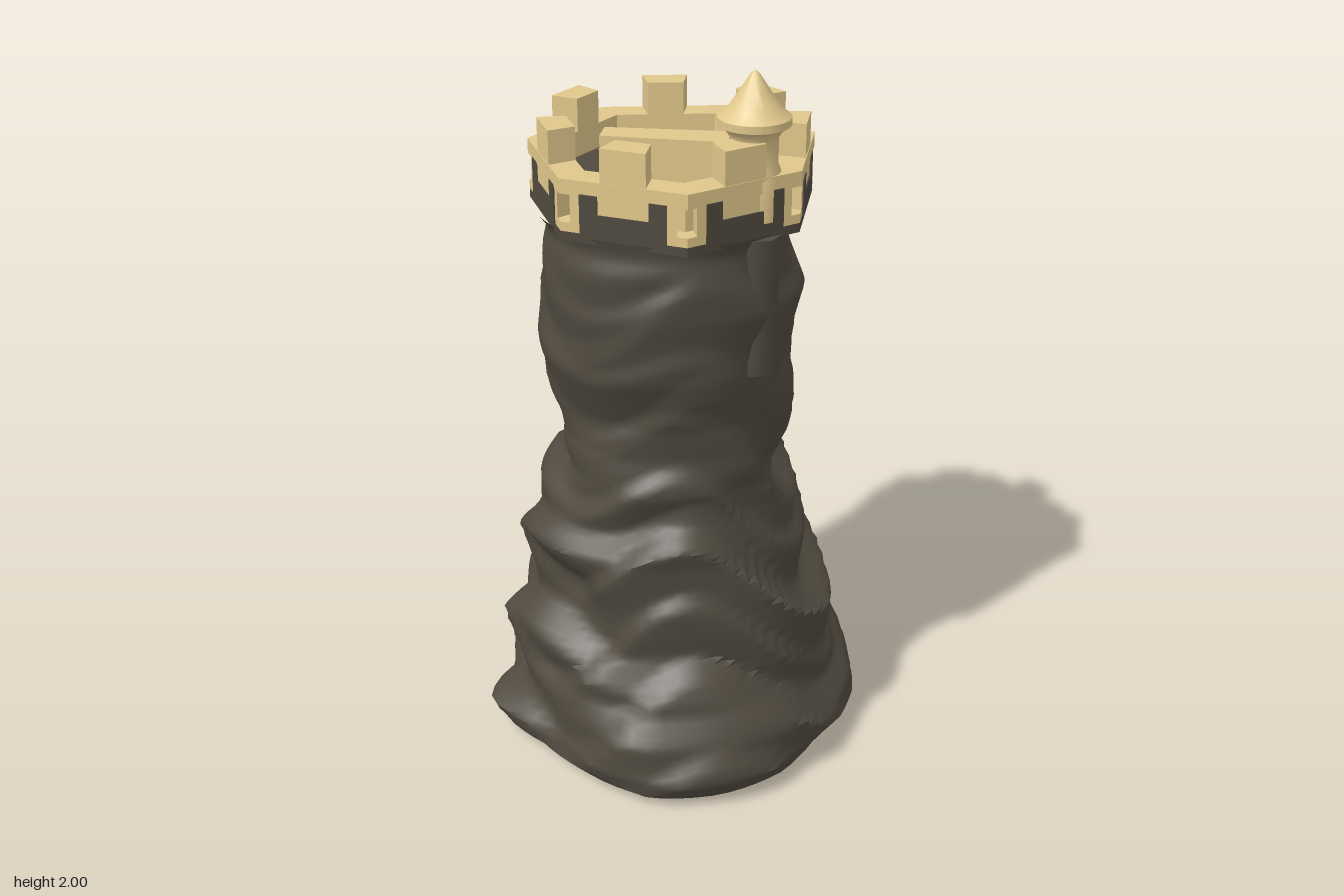
import * as THREE from 'three';
import { toCreasedNormals } from 'three/addons/utils/BufferGeometryUtils.js';

const rock = new THREE.MeshStandardMaterial({ color: 0x504a3f });
rock.name = 'dark rock';
const sand = new THREE.MeshStandardMaterial({ color: 0xe0c78b });
sand.name = 'sandstone';

const step = THREE.MathUtils.smoothstep;

// Rock silhouette: height, left (-x), right (+x), front (+z), back (-z)
const rows = [
  [0.0, 0.40, 0.40, 0.46, 0.46], [0.03, 0.51, 0.50, 0.54, 0.53], [0.08, 0.52, 0.52, 0.56, 0.55],
  [0.18, 0.46, 0.49, 0.52, 0.49], [0.26, 0.46, 0.47, 0.43, 0.45], [0.34, 0.47, 0.45, 0.41, 0.44],
  [0.45, 0.43, 0.41, 0.39, 0.42], [0.56, 0.41, 0.38, 0.36, 0.39], [0.66, 0.43, 0.35, 0.33, 0.35],
  [0.78, 0.38, 0.30, 0.32, 0.38], [0.86, 0.30, 0.28, 0.32, 0.37], [0.95, 0.31, 0.32, 0.28, 0.365],
  [1.05, 0.345, 0.33, 0.28, 0.355], [1.2, 0.37, 0.32, 0.33, 0.35], [1.38, 0.365, 0.345, 0.34, 0.38],
  [1.5, 0.35, 0.305, 0.335, 0.38], [1.55, 0.34, 0.305, 0.32, 0.37], [1.59, 0.375, 0.34, 0.33, 0.40],
];
// Foot outline radii every 22.5 degrees, from +x towards +z
const foot = [0.53, 0.5, 0.53, 0.55, 0.55, 0.5, 0.48, 0.53, 0.51, 0.55, 0.55, 0.6, 0.545, 0.5, 0.51, 0.53];

function rowAt(y) {
  let k = 1;
  while (k < rows.length - 1 && rows[k][0] < y) k++;
  const a = rows[k - 1], b = rows[k];
  const t = (y - a[0]) / (b[0] - a[0]);
  return a.map((v, i) => v + (b[i] - v) * t);
}

function ellipse([, left, right, front, back], a) {
  const c = Math.cos(a), s = Math.sin(a);
  return 1 / Math.hypot(c / (c > 0 ? right : left), s / (s > 0 ? front : back));
}

// Scalloped, overlapping ledges: each swells slowly upwards, then drops back
function ledges(a, y) {
  const ledge = (t) => {
    const f = t - Math.floor(t);
    return (f < 0.75 ? f / 0.75 : (1 - f) / 0.25) - 0.5;
  };
  const low = 1 - step(y, 0.75, 1.0);
  const fade = step(y, 0, 0.12) * (1 - step(y, 1.45, 1.53));
  const big = ledge(y * 2.9 + 0.45 * Math.sin(a * 2 + y * 1.5) + 0.3 * Math.sin(a * 3 + 2));
  const small = ledge(y * 4.7 + 0.5 * Math.sin(a * 3 + 1) - 0.35 * Math.sin(a * 2 - y * 3));
  return fade * (big * (0.014 + 0.04 * low) + small * (0.012 + 0.018 * low));
}

function radius(a, y) {
  const u = a / (Math.PI * 2) * 16, k = Math.floor(u);
  const outline = THREE.MathUtils.lerp(foot[k % 16], foot[(k + 1) % 16], u - k);
  const ratio = outline / ellipse(rows[2], a);
  const r = ellipse(rowAt(y), a) * THREE.MathUtils.lerp(ratio, 1, step(y, 0.08, 0.5));
  // hollow on the front left-hand slope
  const hollow = 0.07 * Math.exp(-(((a - 2.36) / 0.4) ** 2) - ((y - 0.48) / 0.1) ** 2);
  return r + ledges(a, y) - hollow;
}

function rockGeometry() {
  const N = 72, M = 100, pos = [], idx = [];
  for (let j = 0; j <= M; j++) {
    const y = 1.59 * j / M;
    for (let i = 0; i < N; i++) {
      const a = i / N * Math.PI * 2, r = radius(a, y);
      pos.push(r * Math.cos(a), y, r * Math.sin(a));
      if (j === M) continue;
      const p = j * N + i, q = j * N + (i + 1) % N;
      idx.push(p, p + N, q, q, p + N, q + N);
    }
  }
  // underside
  const centre = pos.length / 3;
  pos.push(0, 0, 0);
  for (let i = 0; i < N; i++) idx.push(centre, i, (i + 1) % N);
  const g = new THREE.BufferGeometry();
  g.setAttribute('position', new THREE.Float32BufferAttribute(pos, 3));
  g.setIndex(idx);
  return toCreasedNormals(g, 0.9);
}

function add(parent, name, geometry, material) {
  const m = new THREE.Mesh(geometry, material);
  m.name = name;
  parent.add(m);
  return m;
}

// Upright prism from a plan outline of [x, z] points
function prism(points, y0, y1) {
  const shape = new THREE.Shape(points.map(([x, z]) => new THREE.Vector2(x, -z)));
  const g = new THREE.ExtrudeGeometry(shape, { depth: y1 - y0, bevelEnabled: false });
  return g.rotateX(-Math.PI / 2).translate(0, y0, 0);
}

// Corners of the seven-sided parapet
const corners = [[0.087, -0.415], [0.352, -0.2], [0.346, 0.128], [0.087, 0.35],
  [-0.25, 0.275], [-0.4, -0.035], [-0.255, -0.345]];
const mid = [-0.018, -0.035];

function edgePoint(i, t, s) {
  const a = corners[i], b = corners[(i + 1) % 7];
  return [0, 1].map((k) => mid[k] + (a[k] + (b[k] - a[k]) * t - mid[k]) * s);
}

// Piece of one parapet side: t runs along the side, s scales from the centre
function block(i, t0, t1, s0, s1, y0, y1) {
  return prism([edgePoint(i, t0, s0), edgePoint(i, t1, s0), edgePoint(i, t1, s1), edgePoint(i, t0, s1)], y0, y1);
}

export function createModel() {
  const model = new THREE.Group();
  model.name = 'rockTower';

  add(model, 'rockShaft', rockGeometry(), rock);
  add(model, 'roofFloor', prism(corners.map((_, i) => edgePoint(i, 0, 0.82)), 1.58, 1.67), rock);

  // parapet with recessed corner windows and a merlon on each side
  const parapet = new THREE.Group();
  parapet.name = 'parapet';
  model.add(parapet);
  for (let i = 0; i < 7; i++) {
    add(parapet, 'parapetFooting', block(i, 0, 1, 0.78, 1, 1.575, 1.6), rock);
    add(parapet, 'windowSill', block(i, 0, 1, 0.78, 1, 1.6, 1.625), sand);
    add(parapet, 'windowBack', block(i, 0, 1, 0.78, 0.88, 1.625, 1.7), sand);
    add(parapet, 'parapetWall', block(i, 0.08, 0.92, 0.88, 1, 1.625, 1.7), sand);
    add(parapet, 'parapetCoping', block(i, 0, 1, 0.78, 1.005, 1.7, 1.74), sand);
    add(parapet, 'merlon', block(i, 0.32, 0.68, 0.78, 1, 1.74, 1.83), sand);
    // dark facing between the pale window and merlon surrounds
    add(parapet, 'lowerFacing', block(i, 0.16, 0.84, 0.99, 1.01, 1.6, 1.655), rock);
    for (const t of [0.16, 0.7]) {
      add(parapet, 'sideFacing', block(i, t, t + 0.14, 0.99, 1.01, 1.655, 1.705), rock);
    }
  }

  // wall across the roof
  add(model, 'innerWall', prism([[-0.17, 0.075], [0.2, 0.062], [0.2, 0.158], [-0.17, 0.15]], 1.62, 1.815), sand);

  // corner turret with pointed roof
  const profile = [[0.075, 1.62], [0.075, 1.73], [0.063, 1.76], [0.063, 1.83], [0.075, 1.85], [0.095, 1.862],
    [0.095, 1.882], [0.068, 1.905], [0.038, 1.95], [0.012, 1.99], [0, 2]].map((p) => new THREE.Vector2(...p));
  const turret = add(model, 'turret', toCreasedNormals(new THREE.LatheGeometry(profile, 24), 0.6), sand);
  turret.position.set(0.225, 0, 0.14);

  // rock buttress under the turret
  const buttress = add(model, 'buttress', new THREE.CylinderGeometry(0.062, 0.058, 0.38, 8), rock);
  buttress.position.set(0.24, 1.39, 0.17);
  return model;
}
